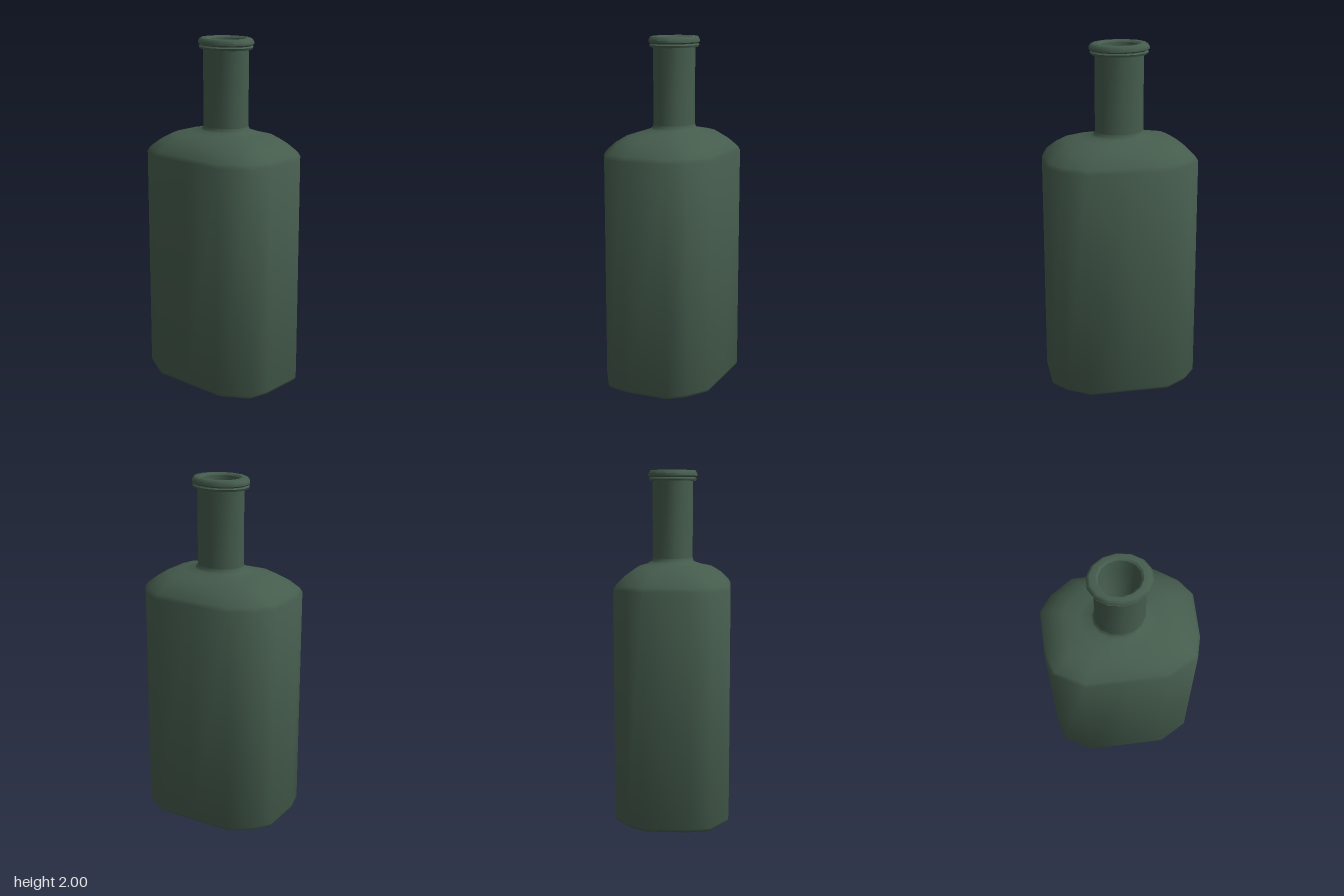
import * as THREE from 'three';
import { toCreasedNormals } from 'three/addons/utils/BufferGeometryUtils.js';

// Faceted plan outline of the body (right half, front to back), mirrored to a full ring
const half = [[0, 0.325], [0.235, 0.325], [0.40, 0.23], [0.43, 0.11],
  [0.43, -0.145], [0.36, -0.24], [0.235, -0.325], [0, -0.325]];
const outline = [...half, ...half.slice(1, -1).reverse().map(([x, z]) => [-x, z])]
  .map(([x, z]) => [x / 0.43, z / 0.325]);
const N = outline.length;

// Ring point: blends from the body outline (t = 0) to an oval (t = 1)
function ringPoint([y, rx, rz, t], j) {
  const a = (j / N) * Math.PI * 2;
  const ox = Math.sin(a) / Math.cos(Math.PI / N);
  const [bx, bz] = outline[j % N];
  return [rx * (bx + (ox - bx) * t), y, rz * (bz + (Math.cos(a) - bz) * t) - 0.008 * t];
}

// Skin a list of rings [y, half width, half depth, roundness]
function loft(rings, crease) {
  const pos = [];
  for (let i = 0; i < rings.length - 1; i++) {
    for (let j = 0; j < N; j++) {
      const k = (j + 1) % N;
      const a = ringPoint(rings[i], j), b = ringPoint(rings[i], k);
      const c = ringPoint(rings[i + 1], k), d = ringPoint(rings[i + 1], j);
      if (rings[i][1] > 0) pos.push(...a, ...b, ...c);
      if (rings[i + 1][1] > 0) pos.push(...a, ...c, ...d);
      else if (rings[i][1] === 0) pos.push(...a, ...c, ...d);
    }
  }
  const g = new THREE.BufferGeometry();
  g.setAttribute('position', new THREE.Float32BufferAttribute(pos, 3));
  // enlarged while creasing so that fine details stay separate
  g.scale(100, 100, 100);
  return toCreasedNormals(g, crease).scale(0.01, 0.01, 0.01);
}

export function createModel() {
  const group = new THREE.Group();
  const glass = new THREE.MeshStandardMaterial({ color: 0x455c4d, side: THREE.DoubleSide });
  glass.name = 'dark green glass';
  const add = (name, rings, crease) => {
    const mesh = new THREE.Mesh(loft(rings, crease), glass);
    mesh.name = name;
    group.add(mesh);
  };

  // Hollowed underside
  add('base', [
    [0.06, 0, 0, 0], [0.055, 0.2, 0.15, 0], [0.035, 0.33, 0.24, 0],
    [0.005, 0.39, 0.285, 0], [0, 0.41, 0.305, 0],
  ], 1.0);

  // Body with bevelled foot and sloping shoulders
  add('body', [
    [0, 0.41, 0.305, 0], [0.008, 0.422, 0.317, 0], [0.025, 0.43, 0.325, 0],
    [1.34, 0.43, 0.325, 0], [1.365, 0.415, 0.312, 0], [1.41, 0.36, 0.268, 0],
    [1.447, 0.305, 0.215, 0.1], [1.465, 0.22, 0.16, 0.6], [1.48, 0.152, 0.13, 1],
    [1.488, 0.142, 0.12, 1], [1.505, 0.135, 0.115, 1],
  ], 1.0);

  add('neck', [[1.505, 0.135, 0.115, 1], [1.945, 0.135, 0.115, 1]], 1.0);

  // Double-beaded lip
  add('lip', [
    [1.94, 0.135, 0.115, 1], [1.94, 0.157, 0.132, 1], [1.952, 0.163, 0.137, 1],
    [1.96, 0.155, 0.13, 1], [1.968, 0.167, 0.14, 1], [1.98, 0.167, 0.14, 1],
    [1.997, 0.156, 0.131, 1], [2, 0.15, 0.126, 1], [2, 0.118, 0.106, 1],
    [1.99, 0.107, 0.096, 1],
  ], 0.7);

  // Tapering inside of the mouth
  add('mouth', [
    [1.99, 0.107, 0.096, 1], [1.9, 0.1, 0.088, 1], [1.72, 0.085, 0.07, 1],
    [1.6, 0.06, 0.045, 1], [1.6, 0, 0, 1],
  ], 0.8);

  return group;
}
